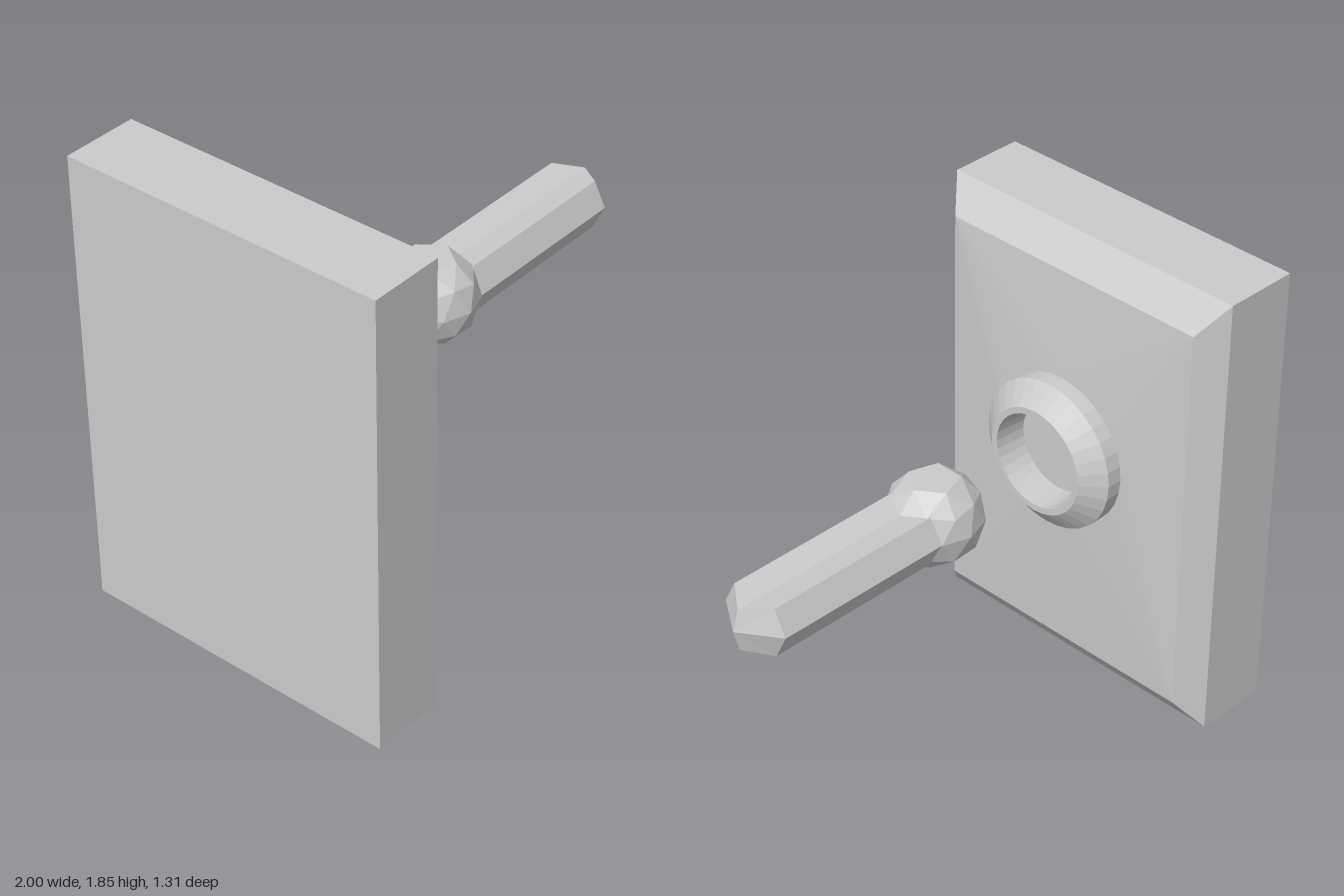
import * as THREE from 'three';

const N = 32;
const material = new THREE.MeshStandardMaterial({ color: 0xcccccc, flatShading: true });

// Skin a list of equal-length loops (counter-clockwise seen from +x), with flat caps.
function loft(loops, capStart, capEnd) {
  const pos = [];
  const ab = new THREE.Vector3(), ac = new THREE.Vector3();
  const tri = (a, b, c) => {
    ab.subVectors(b, a).cross(ac.subVectors(c, a));
    if (ab.lengthSq() > 1e-14) pos.push(...a.toArray(), ...b.toArray(), ...c.toArray());
  };
  const n = loops[0].length;
  for (let k = 0; k < loops.length - 1; k++) {
    const a = loops[k], b = loops[k + 1];
    for (let i = 0; i < n; i++) {
      const j = (i + 1) % n;
      tri(a[i], a[j], b[j]);
      tri(a[i], b[j], b[i]);
    }
  }
  const cap = (loop, flip) => {
    const c = loop.reduce((s, p) => s.add(p), new THREE.Vector3()).divideScalar(n);
    for (let i = 0; i < n; i++) {
      const j = (i + 1) % n;
      if (flip) tri(c, loop[j], loop[i]);
      else tri(c, loop[i], loop[j]);
    }
  };
  if (capStart) cap(loops[0], true);
  if (capEnd) cap(loops[loops.length - 1], false);
  const g = new THREE.BufferGeometry();
  g.setAttribute('position', new THREE.Float32BufferAttribute(pos, 3));
  g.computeVertexNormals();
  return g;
}

// Circle around the socket axis
const circle = (x, r) => Array.from({ length: N }, (_, i) => {
  const a = (i / N) * Math.PI * 2;
  return new THREE.Vector3(x, 1.015 + r * Math.cos(a), r * Math.sin(a));
});

// Rectangle whose corners repeat once per circle point of their quadrant
const rectangle = (x, y0, y1, z) => Array.from({ length: N }, (_, i) => {
  const a = (Math.floor(i / (N / 4)) + 0.5) * Math.PI / 2;
  return new THREE.Vector3(x, Math.cos(a) > 0 ? y1 : y0, Math.sin(a) > 0 ? z : -z);
});

export function createModel() {
  const group = new THREE.Group();
  const add = (name, geometry) => {
    const mesh = new THREE.Mesh(geometry, material);
    mesh.name = name;
    group.add(mesh);
    return mesh;
  };

  // Bevelled wall plate, its face rising gently toward the socket
  add('wallPlate', loft([
    rectangle(-1, 0, 1.85, 0.655),
    rectangle(-0.7, 0, 1.85, 0.655),
    rectangle(-0.605, 0.125, 1.73, 0.57),
    circle(-0.572, 0.3),
  ], true, false));

  // Raised collar with a recessed hole
  add('socketRing', loft([
    circle(-0.572, 0.3),
    circle(-0.51, 0.3),
    circle(-0.44, 0.215),
    circle(-0.44, 0.19),
    circle(-0.57, 0.18),
  ], false, true));

  // Faceted ball with flattened top and bottom
  const R = 0.185;
  const ball = new THREE.IcosahedronGeometry(R, 1);
  ball.rotateZ(-Math.atan(2 / (1 + Math.sqrt(5))));
  const p = ball.attributes.position;
  for (let i = 0; i < p.count; i++) {
    p.setY(i, THREE.MathUtils.clamp(p.getY(i), -0.851 * R, 0.851 * R));
  }
  ball.computeVertexNormals();
  add('ballKnob', ball).position.set(0.06, 1.027, 0.01);

  // Rod: eight-point section with shallow grooves above and below, pointed at the end
  const section = [
    [1.11, 0], [1.127, 0.1], [1.03, 0.15], [0.928, 0.1],
    [0.94, 0], [0.928, -0.1], [1.03, -0.15], [1.127, -0.1],
  ];
  const rodLoop = (x, middleX) => section.map(([y, z], i) =>
    new THREE.Vector3(i % 4 === 0 ? middleX : x, y, z + 0.01));
  const tip = section.map(() => new THREE.Vector3(1, 1.03, 0.01));
  add('rod', loft([rodLoop(0.12, 0.12), rodLoop(0.9, 0.975), tip], true, false));

  return group;
}
